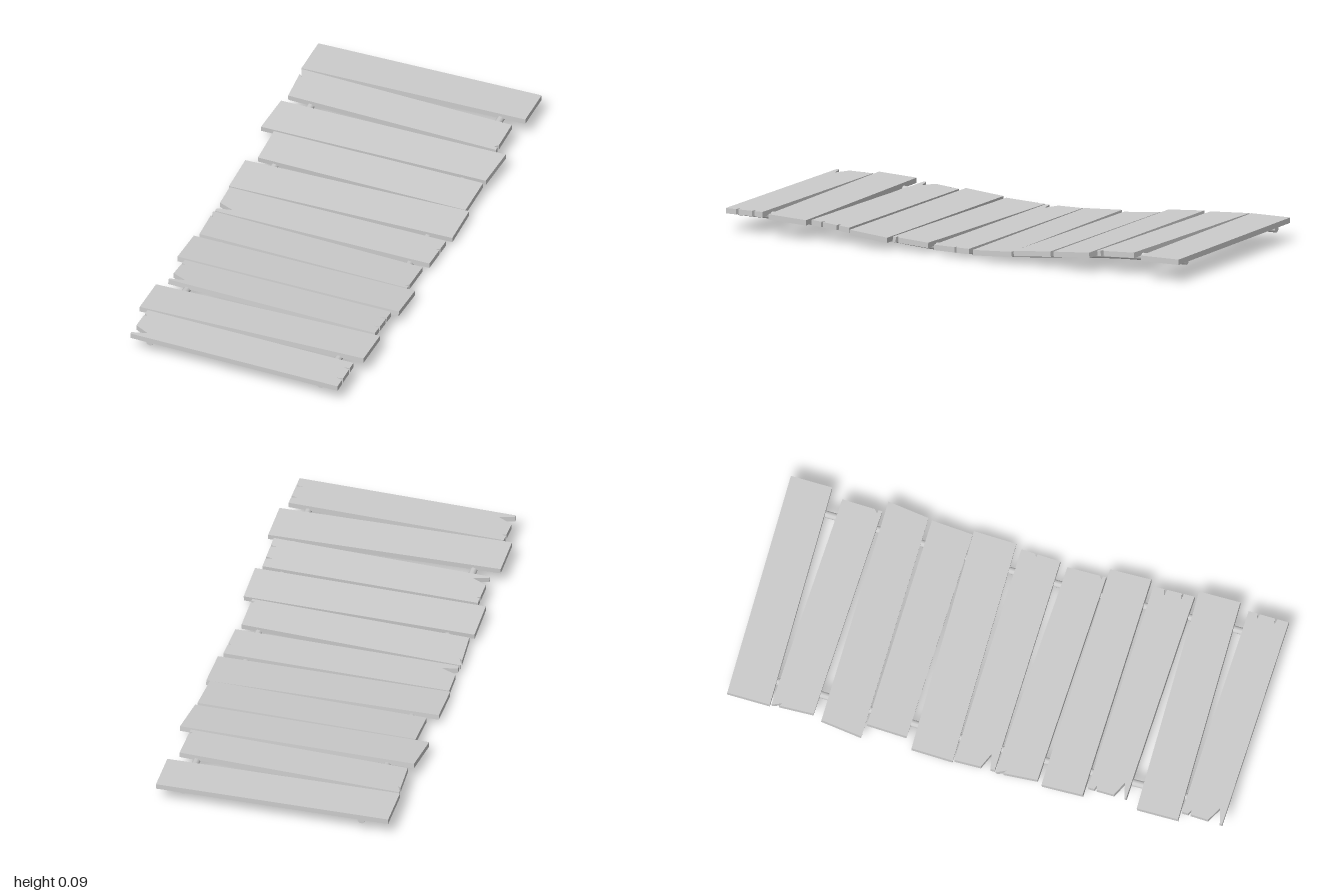
import * as THREE from 'three';

const material = new THREE.MeshStandardMaterial({ color: 0xcccccc, flatShading: true });
const THICK = 0.021;
const ROPE_R = 0.0145;
const SAG = 0.052;
const SPAN = 0.86;

// Height of the rope centre along the bridge, level beyond the span
function ropeY(z) {
  const t = Math.min(Math.abs(z) / SPAN, 1);
  return ROPE_R + SAG * 0.5 * (1 - Math.cos(Math.PI * t));
}

// corners: [x, z] back-left, back-right, front-right, front-left as seen from above
// notches: [z of back lip, tip x, tip z, z of front lip], listed back to front
const planks = [
  { c: [[-0.46, -0.98], [0.455, -1], [0.455, -0.835], [-0.46, -0.81]] },
  { c: [[-0.455, -0.805], [0.42, -0.785], [0.42, -0.625], [-0.445, -0.64]],
    l: [[-0.795, -0.44, -0.765, -0.775]], r: [[-0.655, 0.405, -0.642, -0.64]] },
  { c: [[-0.46, -0.605], [0.465, -0.615], [0.45, -0.45], [-0.475, -0.44]] },
  { c: [[-0.42, -0.435], [0.445, -0.435], [0.44, -0.27], [-0.42, -0.275]] },
  { c: [[-0.46, -0.245], [0.455, -0.27], [0.455, -0.1], [-0.46, -0.08]] },
  { c: [[-0.455, -0.075], [0.44, -0.075], [0.435, 0.082], [-0.45, 0.085]],
    l: [[0.03, -0.39, 0.055, 0.068]], r: [[-0.02, 0.425, -0.012, -0.01]] },
  { c: [[-0.455, 0.09], [0.42, 0.115], [0.42, 0.27], [-0.445, 0.255]],
    l: [[0.1, -0.44, 0.13, 0.12]], r: [[0.245, 0.405, 0.255, 0.257]] },
  { c: [[-0.46, 0.275], [0.455, 0.275], [0.455, 0.44], [-0.46, 0.44]] },
  { c: [[-0.425, 0.45], [0.43, 0.455], [0.43, 0.62], [-0.43, 0.605]],
    l: [[0.475, -0.41, 0.482, 0.484], [0.555, -0.37, 0.582, 0.597]],
    r: [[0.5, 0.405, 0.507, 0.51], [0.57, 0.405, 0.573, 0.578]] },
  { c: [[-0.46, 0.655], [0.455, 0.63], [0.455, 0.795], [-0.46, 0.82]] },
  { c: [[-0.425, 0.825], [0.43, 0.835], [0.43, 0.995], [-0.43, 0.987]],
    l: [[0.85, -0.41, 0.858, 0.86], [0.93, -0.37, 0.96, 0.977]],
    r: [[0.87, 0.405, 0.875, 0.88], [0.94, 0.405, 0.945, 0.95]] },
];

// Point on a plank's end edge at a given z
function onEdge(a, b, z) {
  return [a[0] + (b[0] - a[0]) * (z - a[1]) / (b[1] - a[1]), z];
}

function notchPoints(a, b, list = []) {
  return list.flatMap(([z0, tipX, tipZ, z1]) => [onEdge(a, b, z0), [tipX, tipZ], onEdge(a, b, z1)]);
}

function makePlank({ c, l, r }) {
  const [bl, br, fr, fl] = c;
  const outline = [bl, br, ...notchPoints(br, fr, r), fr, fl, ...notchPoints(bl, fl, l).reverse()];
  const shape = new THREE.Shape(outline.map(([x, z]) => new THREE.Vector2(x, -z)));
  const zc = c.reduce((sum, p) => sum + p[1], 0) / 4;
  const geometry = new THREE.ExtrudeGeometry(shape, { depth: THICK, bevelEnabled: false });
  geometry.rotateX(-Math.PI / 2).translate(0, -THICK / 2, -zc);
  const mesh = new THREE.Mesh(geometry, material);
  // Lie on the ropes and follow their slope
  mesh.position.set(0, ropeY(zc) + 0.015, zc);
  mesh.rotation.x = -Math.atan((ropeY(zc + 0.05) - ropeY(zc - 0.05)) / 0.1);
  return mesh;
}

// Sagging rope with closed ends
function makeRope(x) {
  const group = new THREE.Group();
  const points = [];
  for (let i = 0; i <= 16; i++) {
    const z = -0.98 + (1.96 * i) / 16;
    points.push(new THREE.Vector3(x, ropeY(z), z));
  }
  const ropeMaterial = new THREE.MeshStandardMaterial({ color: 0xcccccc });
  const tube = new THREE.TubeGeometry(new THREE.CatmullRomCurve3(points), 40, ROPE_R, 10, false);
  group.add(new THREE.Mesh(tube, ropeMaterial));
  for (const s of [-1, 1]) {
    const cap = new THREE.Mesh(new THREE.CircleGeometry(ROPE_R, 10), ropeMaterial);
    cap.position.set(x, ropeY(0.98), s * 0.98);
    if (s < 0) cap.rotation.y = Math.PI;
    cap.name = 'ropeEnd';
    group.add(cap);
  }
  return group;
}

export function createModel() {
  const model = new THREE.Group();
  model.name = 'plankBridge';
  planks.forEach((data, i) => {
    const plank = makePlank(data);
    plank.name = `plank${i + 1}`;
    model.add(plank);
  });
  for (const s of [-1, 1]) {
    const rope = makeRope(s * 0.353);
    rope.name = s > 0 ? 'leftRope' : 'rightRope';
    model.add(rope);
  }
  return model;
}
